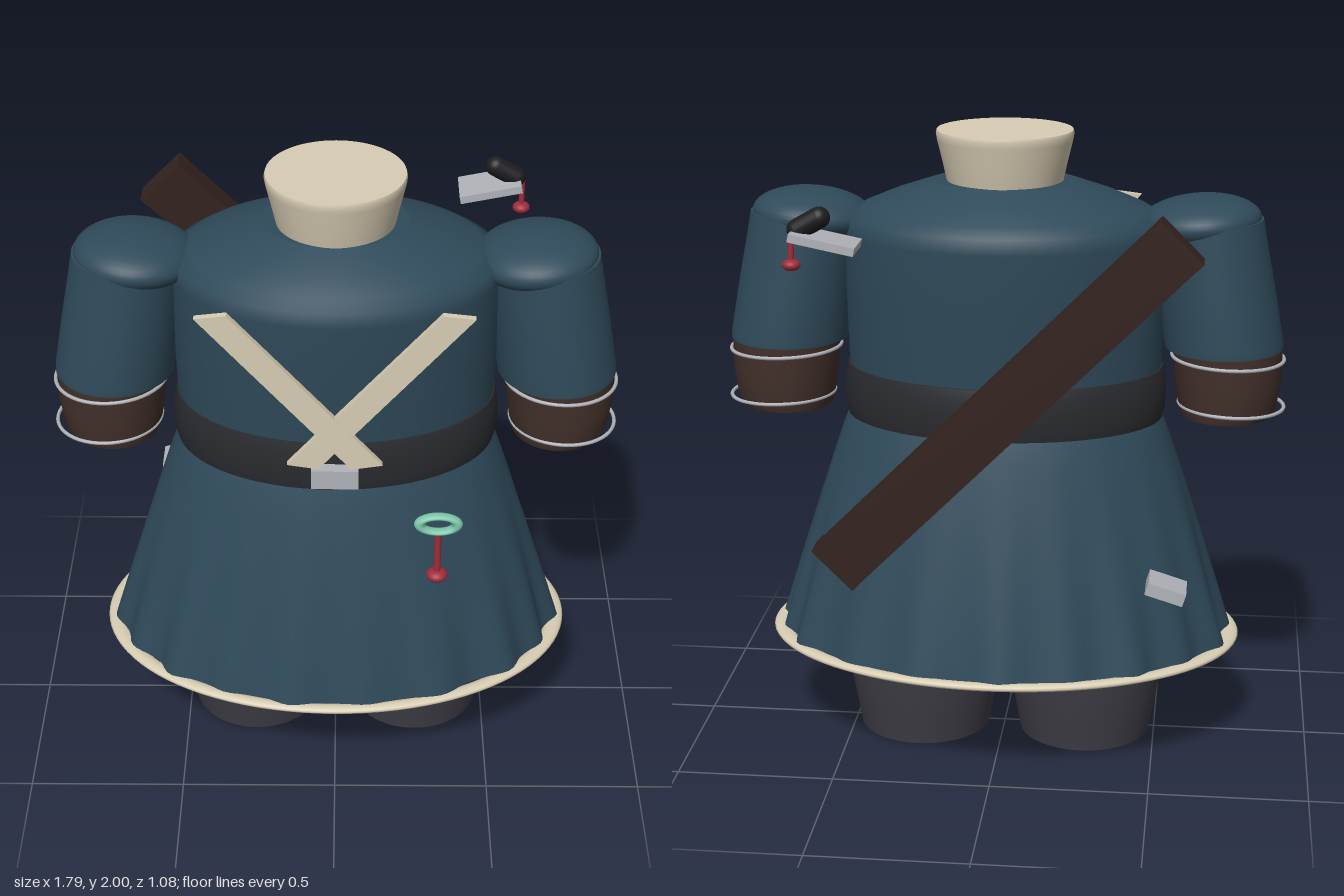
import * as THREE from 'three';

const mat = (color, side = THREE.FrontSide) => new THREE.MeshStandardMaterial({ color, side });
const BLUE = mat(0x2f4a5a), CLOTH = mat(0x2f4a5a, THREE.DoubleSide), BELT = mat(0x2a2b2f);
const CREAM = mat(0xd8cdb4), BROWN = mat(0x42302a), DARK = mat(0x33231e), LEG = mat(0x3e3c45);
const STEEL = mat(0xb0b3b8), RED = mat(0xa02c3a), MINT = mat(0x7fc8ab), BLACK = mat(0x1c1c20);

// Elliptical rings [y, rx, rz, cx] from bottom to top, joined into a smooth skin with flat caps.
// fold(angle, t) scales a ring's radius.
function loft(rings, { seg = 64, caps = true, fold = () => 1 } = {}) {
  const pos = [], idx = [], n = rings.length;
  const addRing = (k) => {
    const [y, rx, rz, cx = 0] = rings[k];
    for (let j = 0; j < seg; j++) {
      const a = (j / seg) * Math.PI * 2, f = fold(a, k / (n - 1));
      pos.push(cx + Math.cos(a) * rx * f, y, Math.sin(a) * rz * f);
    }
  };
  for (let k = 0; k < n; k++) addRing(k);
  for (let k = 0; k < n - 1; k++) for (let j = 0; j < seg; j++) {
    const a = k * seg + j, b = k * seg + (j + 1) % seg;
    idx.push(a, a + seg, b, b, a + seg, b + seg);
  }
  if (caps) for (const k of [0, n - 1]) {
    const start = pos.length / 3, c = start + seg;
    addRing(k);
    pos.push(rings[k][3] || 0, rings[k][0], 0);
    for (let j = 0; j < seg; j++) {
      const a = start + j, b = start + (j + 1) % seg;
      k ? idx.push(c, b, a) : idx.push(c, a, b);
    }
  }
  const g = new THREE.BufferGeometry();
  g.setAttribute('position', new THREE.Float32BufferAttribute(pos, 3));
  g.setIndex(idx);
  g.computeVertexNormals();
  return g;
}

export function createModel() {
  const model = new THREE.Group();
  const add = (name, geo, material, p = [0, 0, 0], parent = model) => {
    const m = new THREE.Mesh(geo, material);
    m.name = name;
    m.position.set(...p);
    parent.add(m);
    return m;
  };

  // Neck, torso and belt
  add('neck', loft([[1.8, 0.17, 0.17], [1.84, 0.182, 0.182], [1.9, 0.195, 0.195], [1.97, 0.212, 0.212],
    [1.99, 0.215, 0.215], [2, 0.212, 0.212]]), CREAM);
  add('torso', loft([[1.2, 0.495, 0.335], [1.3, 0.5, 0.345], [1.5, 0.505, 0.365], [1.68, 0.507, 0.378],
    [1.73, 0.5, 0.375], [1.76, 0.45, 0.34], [1.8, 0.355, 0.275], [1.83, 0.265, 0.21], [1.843, 0.225, 0.18]]), BLUE);
  add('belt', loft([[1.09, 0.505, 0.35], [1.12, 0.513, 0.355], [1.17, 0.515, 0.357], [1.22, 0.512, 0.355],
    [1.255, 0.503, 0.347]]), BELT);
  add('buckle', new THREE.BoxGeometry(0.145, 0.065, 0.04), STEEL, [0, 1.16, 0.38]);

  // Flared skirt whose folds deepen toward the hem
  const skirtRings = [];
  for (let k = 0; k <= 20; k++) {
    const d = 1 - k / 20, flare = 0.7 * d + 0.3 * Math.pow(d, 0.8);
    skirtRings.push([1.1 - 0.745 * d, 0.5 + 0.25 * flare, 0.345 + 0.18 * flare]);
  }
  const fold = (a, t) => {
    const w = Math.sin(19 * a + 0.7 * Math.sin(3 * a)) + 0.4 * Math.sin(11 * a + 1);
    return 1 - 0.022 * Math.pow(1 - t, 1.6) * (1.2 - w);
  };
  add('skirt', loft(skirtRings, { seg: 160, caps: false, fold }), CLOTH);
  const hem = new THREE.TorusGeometry(1, 0.04, 12, 96).rotateX(Math.PI / 2);
  add('hem', hem, CREAM, [0, 0.35, 0]).scale.set(0.74, 0.3, 0.52);

  for (const [s, side] of [[1, 'left'], [-1, 'right']]) {
    // Legs
    add(side + 'Leg', loft([[0, 0.215, 0.215], [0.06, 0.226, 0.222], [0.17, 0.245, 0.24], [0.3, 0.26, 0.252],
      [0.4, 0.262, 0.256], [0.44, 0.255, 0.25]].map(r => [...r, s * 0.268])), LEG);

    // Arm: sleeve, padded shoulder, cuff and its two bands
    const arm = new THREE.Group();
    arm.name = side + 'Arm';
    model.add(arm);
    add('sleeve', loft([[1.325, 0.187, 0.198, s * 0.694], [1.345, 0.188, 0.199, s * 0.692], [1.5, 0.184, 0.193, s * 0.668],
      [1.65, 0.177, 0.183, s * 0.645], [1.735, 0.173, 0.178, s * 0.633]]), BLUE, [0, 0, 0], arm);
    const pad = add('shoulder', new THREE.SphereGeometry(0.19, 40, 24), BLUE, [s * 0.61, 1.725, 0], arm);
    pad.scale.set(1, 0.42, 0.98);
    pad.rotation.z = s * 0.08;
    add('cuff', loft([[1.105, 0.143, 0.155, s * 0.705], [1.13, 0.155, 0.163, s * 0.71], [1.22, 0.168, 0.171, s * 0.71],
      [1.33, 0.174, 0.176, s * 0.705]]), BROWN, [0, 0, 0], arm);
    for (const [y, r, x] of [[1.29, 0.177, 0.708], [1.135, 0.167, 0.722]]) {
      const band = add('cuffBand', new THREE.TorusGeometry(r, 0.006, 8, 48), STEEL, [s * x, y, 0], arm);
      band.rotation.set(Math.PI / 2, -s * 0.03, 0);
    }

    // Crossed chest strap with slanted ends
    const strap = new THREE.Shape([[0.41, 1.727], [0.315, 1.738], [-0.145, 1.215], [-0.05, 1.2]]
      .map(([x, y]) => new THREE.Vector2(s * x, y)));
    add(side + 'ChestStrap', new THREE.ExtrudeGeometry(strap, { depth: 0.022, bevelEnabled: false }), CREAM,
      [0, 0, s > 0 ? 0.376 : 0.378]);
  }

  // Charm on the skirt: flattened ring, pin and bead
  const charm = new THREE.Group();
  charm.name = 'charm';
  model.add(charm);
  add('charmRing', new THREE.TorusGeometry(0.058, 0.018, 12, 40), MINT, [0.32, 0.985, 0.383], charm).scale.y = 0.5;
  add('charmPin', new THREE.CylinderGeometry(0.011, 0.011, 0.17, 12), RED, [0.32, 0.873, 0.383], charm);
  add('charmBead', new THREE.SphereGeometry(0.034, 20, 14), RED, [0.32, 0.79, 0.383], charm).scale.y = 0.6;

  // Scabbard slung across the back, with end caps
  const scabbard = new THREE.Group();
  scabbard.name = 'scabbard';
  scabbard.position.set(-0.04, 1.23, -0.445);
  scabbard.rotation.z = Math.PI / 4;
  model.add(scabbard);
  add('sheath', new THREE.BoxGeometry(0.175, 1.45, 0.088), DARK, [0, 0, 0], scabbard);
  for (const e of [1, -1]) add('sheathCap', new THREE.BoxGeometry(0.177, 0.03, 0.092), DARK, [0, e * 0.73, 0], scabbard);

  // Guard, grip and pommel pin by the left shoulder; tip plate low on the right
  add('guard', new THREE.BoxGeometry(0.2, 0.025, 0.142), STEEL, [0.492, 1.732, -0.44]).rotation.z = 0.2;
  add('grip', new THREE.CapsuleGeometry(0.033, 0.075, 8, 20), BLACK, [0.54, 1.782, -0.44]).rotation.z = 1.05;
  add('pommelPin', new THREE.CylinderGeometry(0.009, 0.009, 0.1, 12), RED, [0.595, 1.705, -0.437]);
  add('pommelBead', new THREE.SphereGeometry(0.028, 20, 14), RED, [0.595, 1.655, -0.437]).scale.y = 0.65;
  add('tipPlate', new THREE.BoxGeometry(0.12, 0.04, 0.12), STEEL, [-0.54, 0.67, -0.44]).rotation.z = 0.3;

  return model;
}
